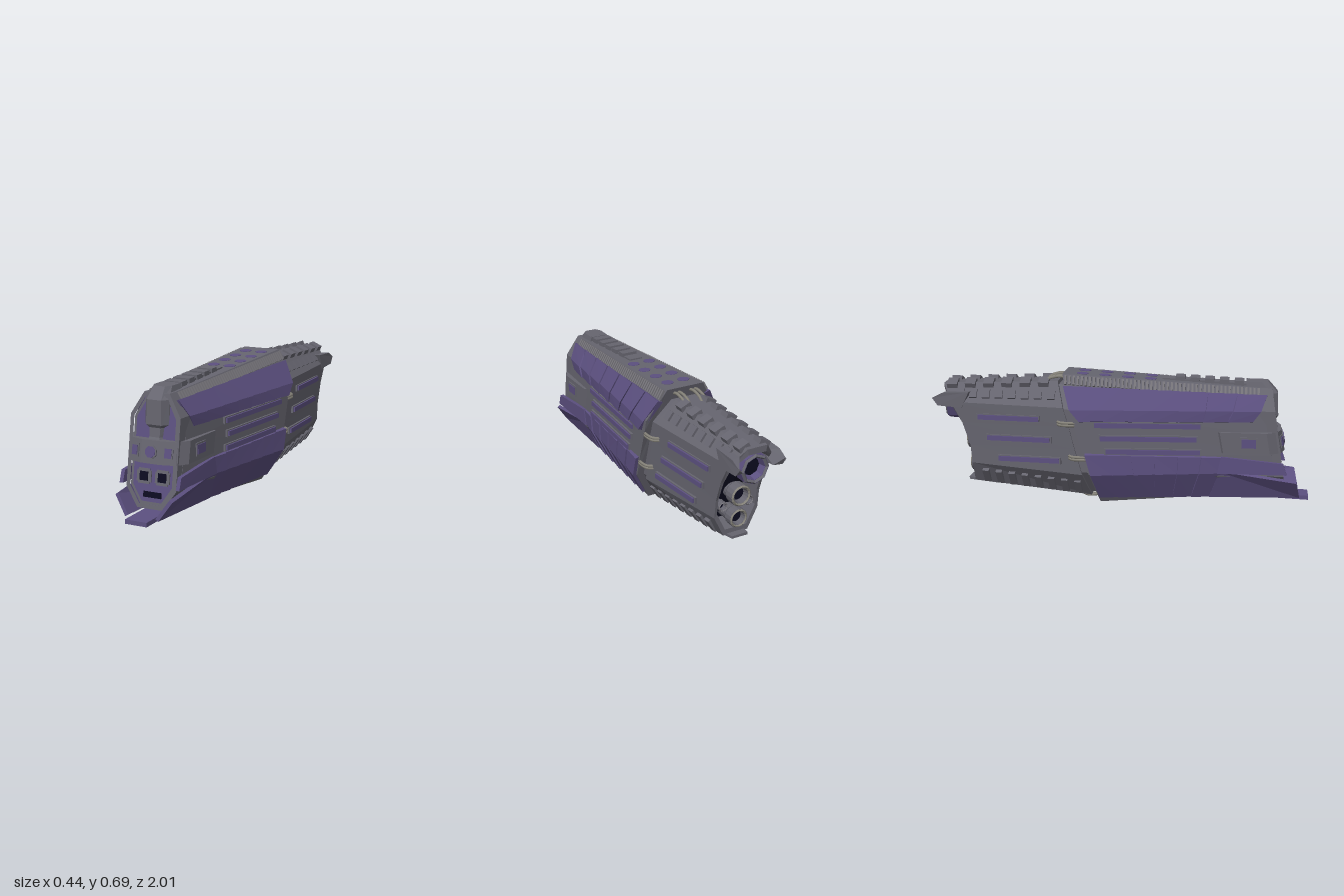
import * as THREE from 'three';

const mat = (name, color) => {
  const m = new THREE.MeshStandardMaterial({ color });
  m.name = name;
  return m;
};
const V = (x, y, z) => new THREE.Vector3(x, y, z);
const mix = (A, B, t) => A.map((a, i) => a.map((v, k) => v + (B[i][k] - v) * t));
const flip = (P, s) => P.map(([x, y, z]) => [x * s, y, z]);
// Half outline (top to bottom) closed by its mirror image
const whole = (P) => [...P, ...flip(P, -1).reverse()];
const flat = (g) => {
  const n = g.index ? g.toNonIndexed() : g;
  n.computeVertexNormals();
  return n;
};

// Closed faceted solid through matching cross-sections, turned outward by its signed volume
function skin(sections) {
  const n = sections[0].length, last = sections.length - 1, idx = [];
  for (let j = 0; j < last; j++) for (let i = 0; i < n; i++) {
    const a = j * n + i, b = j * n + (i + 1) % n;
    idx.push(a, b, b + n, a, b + n, a + n);
  }
  for (let i = 1; i < n - 1; i++) {
    idx.push(0, i + 1, i);
    idx.push(last * n, last * n + i, last * n + i + 1);
  }
  const p = sections.flat().map((q) => V(...q));
  let vol = 0;
  for (let i = 0; i < idx.length; i += 3) vol += p[idx[i]].dot(p[idx[i + 1]].clone().cross(p[idx[i + 2]]));
  if (vol < 0) idx.reverse();
  const g = new THREE.BufferGeometry().setFromPoints(p);
  g.setIndex(idx);
  return flat(g);
}

export function createModel() {
  const grey = mat('hull grey', 0x66656f), purple = mat('armour purple', 0x5c5080);
  const dark = mat('dark opening', 0x0c0b20), rib = mat('rib grey', 0x76747a), pipe = mat('pale pipe', 0x858279);
  const model = new THREE.Group(), ship = new THREE.Group();
  model.name = 'model';
  ship.name = 'ship';
  ship.rotation.y = -0.045;
  ship.position.x = -0.006;
  model.add(ship);

  const add = (name, g, m, pos = [0, 0, 0], rot = [0, 0, 0]) => {
    const o = new THREE.Mesh(g, m);
    o.name = name;
    o.position.set(...pos);
    o.rotation.set(...rot);
    ship.add(o);
  };
  const box = (name, m, size, pos, rot) => add(name, new THREE.BoxGeometry(...size), m, pos, rot);
  const bar = (name, m, a, b, w, h) => {
    const A = V(...a), B = V(...b), o = new THREE.Mesh(new THREE.BoxGeometry(w, h, A.distanceTo(B)), m);
    o.name = name;
    o.position.copy(A).lerp(B, 0.5);
    o.lookAt(B);
    ship.add(o);
  };

  // Forward hull
  const hullF = [[0.07, 0.63, 0.74], [0.135, 0.52, 0.76], [0.14, 0.4, 0.775], [0.14, 0.29, 0.8], [0.138, 0.175, 0.825], [0.07, 0.075, 0.84]];
  const hullB = [[0.105, 0.69, -0.3], [0.2, 0.52, -0.25], [0.2, 0.46, -0.235], [0.2, 0.28, -0.18], [0.2, 0.17, -0.15], [0.105, 0, -0.1]];
  add('forwardHull', skin([whole(hullF), whole(hullB)]), grey);

  // Rear hull: shell with a recessed engine bay
  const rearF = [[0.075, 0.645, -0.33], [0.17, 0.52, -0.29], [0.17, 0.42, -0.26], [0.17, 0.3, -0.23], [0.17, 0.16, -0.19], [0.085, 0.03, -0.15]];
  const rearB = [[0.055, 0.62, -0.95], [0.125, 0.53, -0.9], [0.125, 0.42, -0.84], [0.125, 0.3, -0.8], [0.125, 0.2, -0.79], [0.07, 0.09, -0.79]];
  const shrink = (P, k, dz) => P.map(([x, y, z]) => [x * k, 0.35 + (y - 0.35) * k, z + dz]);
  const bay = shrink(rearB, 0.85, 0.12);
  add('rearHull', skin([rearF, rearB, shrink(rearB, 0.88, 0), bay].map(whole)), grey);
  add('engineBayWall', skin([whole(bay), whole(shrink(bay, 1, -0.006))]), dark);
  add('neck', skin([whole(shrink(rearF, 0.94, 0.12)), whole(shrink(rearF, 0.94, -0.05))]), grey);

  // Overlapping armour plates and forward fins
  const rows = [
    ['upperPlate', 7, [[0.105, 0.6, 0.77], [0.15, 0.52, 0.74], [0.15, 0.465, 0.7]], [[0.15, 0.635, -0.29], [0.215, 0.52, -0.25], [0.215, 0.46, -0.2]]],
    ['lowerPlate', 6, [[0.105, 0.045, 0.48], [0.165, 0.19, 0.54], [0.165, 0.275, 0.56]], [[0.135, 0.03, -0.1], [0.215, 0.17, -0.14], [0.215, 0.28, -0.17]]],
  ];
  for (const s of [1, -1]) {
    for (const [name, n, front, back] of rows) {
      const dir = name === 'upperPlate' ? -1 : 1;
      const slab = (t, lift) => {
        const P = mix(front, back, t);
        const outer = P.map(([x, y, z]) => [x + lift, y, z]);
        const inner = P.map(([x, y, z]) => [x - 0.025, y + dir * 0.01, z]);
        return flip([...outer, ...inner.reverse()], s);
      };
      for (let k = 0; k < n; k++) add(name, skin([slab(k / n, -0.004), slab((k + 1) / n, 0.004)]), purple);
    }
    const fin = (name, a, b, c, d, dx, dy) => {
      const end = (p, q) => flip([p, q, [q[0] - dx, q[1] + dy, q[2]], [p[0] - dx, p[1] + dy, p[2]]], s);
      add(name, skin([end(a, b), end(c, d)]), purple);
    };
    fin('sideFin', [0.17, 0.28, 0.54], [0.17, 0.19, 0.52], [0.167, 0.25, 0.86], [0.167, 0.19, 0.88], 0.02, 0);
    fin('cornerFin', [0.165, 0.2, 0.53], [0.107, 0.045, 0.48], [0.158, 0.145, 0.93], [0.092, 0.05, 0.95], 0.016, 0.01);

    // Ribbed channel along the top edge
    for (let i = 0; i < 48; i++) {
      const t = (i + 0.5) / 48;
      box('channelRib', rib, [0.05, 0.012, 0.011], [s * (0.088 + 0.04 * t), 0.607 + 0.055 * t, 0.735 - 1.025 * t], [0, 0, -s * 1.04]);
    }

    // Raised side strips, each on a low grey bed
    const strip = (A, B, out, y, z0, z1) => {
      const at = (z) => {
        const t = (A[3][2] - z) / (A[3][2] - B[3][2]);
        return [s * (A[3][0] + (B[3][0] - A[3][0]) * t + out), y, z];
      };
      bar('stripBed', grey, at(z0 + 0.008), at(z1 - 0.008), 0.014, 0.036);
      bar('sideStrip', purple, at(z0), at(z1), 0.032, 0.025);
    };
    [[0.44, 0.43, -0.12], [0.37, 0.41, -0.09], [0.3, 0.43, -0.06]].forEach((q) => strip(hullF, hullB, 0.002, ...q));
    [[0.455, -0.42, -0.75], [0.345, -0.36, -0.7], [0.235, -0.31, -0.64]].forEach((q) => strip(rearF, rearB, 0.004, ...q));

    // Teeth on the rear hull: top edge, upper slope and lower slope
    for (let i = 0; i < 6; i++) {
      const [p] = mix(rearF, rearB, 0.12 + 0.16 * i);
      box('topTooth', grey, [0.06, 0.026, 0.055], [s * p[0], p[1] - 0.002, p[2]], [0, 0, -s * 0.42]);
    }
    for (let i = 0; i < 8; i++) {
      const P = mix(rearF, rearB, 0.08 + 0.115 * i), Q = mix([P[0]], [P[1]], 0.55)[0], R = mix([P[4]], [P[5]], 0.6)[0];
      box('slopeTooth', grey, [0.05, 0.022, 0.04], [s * Q[0], Q[1], Q[2]], [0, 0, -s * 0.92]);
      box('keelTooth', grey, [0.085, 0.026, 0.035], [s * R[0], R[1], R[2]], [0, s * 0.1, s * 0.99]);
    }

    // Tail spikes, thicker at the root
    const spike = (x, k) => [[0.585, -0.8], [0.58, -0.94], [0.55, -1], [0.51, -0.97], [0.5, -0.84]].map(([y, z], i) => [s * (i === 2 ? 0.13 : x), y, z + k]);
    add('tailSpike', skin([spike(0.085, 0.01), spike(0.132, 0)]), grey);

    // Pipes bridging the gap between the hulls
    const hook = (pts) => add('couplingPipe', new THREE.TubeGeometry(new THREE.CatmullRomCurve3(flip(pts, s).map((q) => V(...q))), 12, 0.008, 6), pipe);
    for (const [y, z] of [[0.445, -0.2], [0.432, -0.2], [0.262, -0.14], [0.249, -0.14]])
      hook([[0.185, y, z], [0.196, y, z - 0.04], [0.188, y, z - 0.1], [0.16, y, z - 0.12]]);
    for (const x of [0.035, 0.06]) {
      hook([[x, 0.66, -0.28], [x, 0.668, -0.32], [x, 0.655, -0.38], [x, 0.63, -0.41]]);
      hook([[x, 0.04, -0.09], [x, 0.026, -0.13], [x, 0.026, -0.18], [x, 0.05, -0.22]]);
    }

    // Round top panels and keel slots
    for (let i = 0; i < 4; i++) {
      const z = -0.2 + 0.12 * i, k = z + 0.2;
      add('topPanel', new THREE.CylinderGeometry(0.032, 0.032, 0.004, 10), purple, [s * 0.047, 0.63 + 0.06 * (0.74 - z) / 1.04, z], [0.058, 0, 0]);
      box('keelSlot', dark, [0.035, 0.004, 0.022], [s * 0.045, 0.075 * (1 - (0.84 - k) / 0.94), k], [-0.08, 0, 0]);
    }
  }
  add('chinPlate', skin([[0.05, 0.55], [0.032, 1]].map(([y, z]) => [[-0.06, y, z], [0.06, y, z], [0.06, y + 0.022, z], [-0.06, y + 0.022, z]])), purple);

  // Top ridge blocks
  box('topRidge', grey, [0.075, 0.02, 0.5], [0, 0.645, 0.47], [0.05, 0, 0]);
  for (let i = 0; i < 6; i++) {
    const z = 0.7 - 0.077 * i;
    box('ridgeBlock', grey, [0.1 - 0.003 * i, 0.034, 0.05], [0, 0.64 + 0.052 * (0.7 - z), z], [0.05, 0, 0]);
  }

  // Nose frame in two steps, and the face inside it
  const nose = (k) => {
    const half = [[0.07 - k * 0.5, 0.63 - k], [0.138 - k, 0.52 - k * 0.4], [0.138 - k, 0.175 + k * 0.4], [0.07 - k * 0.5, 0.08 + k]];
    return [...half, ...half.map(([x, y]) => [-x, y]).reverse()].map((q) => new THREE.Vector2(...q));
  };
  const slanted = (outer, hole, z0, depth) => {
    const shape = new THREE.Shape(nose(outer));
    if (hole) shape.holes.push(new THREE.Path(nose(hole)));
    const g = new THREE.ExtrudeGeometry(shape, { depth, bevelEnabled: false }), p = g.attributes.position;
    for (let i = 0; i < p.count; i++) p.setZ(i, p.getZ(i) + z0 - 0.15 * p.getY(i));
    return flat(g);
  };
  add('noseFrame', slanted(0, 0.02, 0.8, 0.09), grey);
  add('noseFrameStep', slanted(0.018, 0.03, 0.865, 0.014), grey);
  add('noseFace', slanted(0.015, 0, 0.863, 0.008), purple);
  const onFace = (name, m, x, y, w, h, d) => box(name, m, [w, h, d], [x, y, 0.871 - 0.15 * y], [-0.149, 0, 0]);
  for (const s of [1, -1]) {
    onFace('portFrame', grey, s * 0.051, 0.228, 0.08, 0.056, 0.012);
    onFace('portFrame', grey, s * 0.051, 0.228, 0.062, 0.074, 0.012);
    onFace('portOpening', dark, s * 0.051, 0.228, 0.046, 0.044, 0.018);
  }
  onFace('intakeSlot', dark, 0, 0.142, 0.1, 0.028, 0.009);

  // Bridge band with windows
  const band = [[0.055, 0.868], [0.13, 0.848], [0.167, 0.79], [0.168, 0.55], [0.1, 0.5]];
  add('bridgeBand', skin([[0.3, 0], [0.41, -0.02]].map(([y, dz]) => whole(band.map(([x, z]) => [x, y, z + dz])))), grey);
  const oct = (r, d) => flat(new THREE.CylinderGeometry(r, r, d, 8)).rotateY(Math.PI / 8).rotateX(Math.PI / 2);
  add('centreWindowFrame', oct(0.035, 0.012), grey, [0, 0.355, 0.858], [-0.18, 0, 0]);
  add('centreWindow', oct(0.029, 0.018), purple, [0, 0.355, 0.858], [-0.18, 0, 0]);
  for (const s of [1, -1]) for (const [x, z, a, w, tilt] of [[0.09, 0.848, 0.26, 0.034, -0.18], [0.167, 0.68, 1.567, 0.075, 0]]) {
    box('windowFrame', grey, [w + 0.014, 0.064, 0.012], [s * x, 0.355, z], [tilt, s * a, 0]);
    box('sideWindow', purple, [w, 0.046, 0.02], [s * x, 0.355, z], [tilt, s * a, 0]);
  }

  // Nose tower above the bridge
  add('noseTower', skin([[0.4, 0.05, 0.835], [0.42, 0.046, 0.825], [0.465, 0.05, 0.82], [0.48, 0.067, 0.83], [0.6, 0.066, 0.825], [0.658, 0.05, 0.775]]
    .map(([y, h, z]) => whole([[h * 0.62, y, z], [h, y, z - 0.035], [h, y, 0.66]]))), grey);

  // Engines: ringed barrels with dark throats
  const engine = (x, y, z0, z1, r, sides, barrelMat, ringMat) => {
    const lathe = new THREE.LatheGeometry([[0, 0], [r * 0.8, 0], [r * 0.8, 0.6], [r, 0.7], [r, 1], [r * 0.72, 1], [r * 0.6, 0.8], [0, 0.8]]
      .map(([a, b]) => new THREE.Vector2(a, b * (z0 - z1))), sides).rotateX(-Math.PI / 2);
    add('engineBarrel', flat(lathe), barrelMat, [x, y, z0]);
    add('engineThroat', new THREE.CircleGeometry(r * 0.62, sides).rotateY(Math.PI), dark, [x, y, z0 - (z0 - z1) * 0.81]);
    add('engineRing', flat(new THREE.TorusGeometry(r * 0.86, r * 0.12, 4, sides)).rotateZ(Math.PI / 2), ringMat, [x, y, z1]);
  };
  engine(0, 0.5, -0.74, -0.935, 0.08, 8, purple, grey);
  engine(0, 0.31, -0.66, -0.83, 0.056, 16, grey, pipe);
  engine(0, 0.18, -0.66, -0.815, 0.05, 16, grey, pipe);
  for (const s of [1, -1]) engine(s * 0.075, 0.25, -0.66, -0.79, 0.026, 10, grey, rib);
  add('tailPlate', skin([[0.075, 0.07, -0.66], [0.085, 0.045, -0.83]].map(([y, h, z]) => [[-h, y, z], [h, y, z], [h, y + 0.014, z], [-h, y + 0.014, z]])), grey);

  return model;
}
